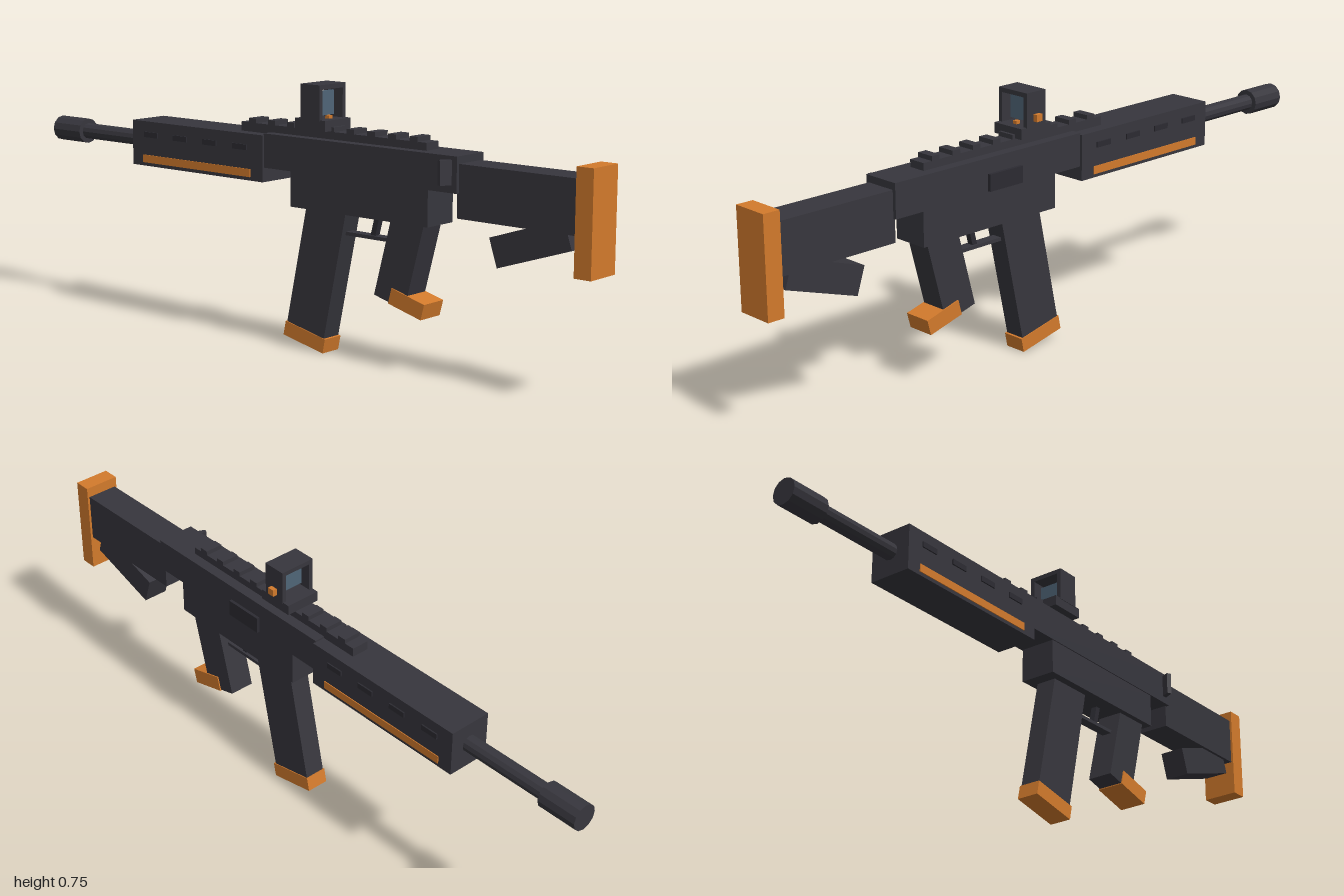
import * as THREE from 'three';

export function createModel() {
  const model = new THREE.Group();
  model.name = 'rifle';
  const CX = 0.0075; // centre line of the body

  const mat = (name, color) => {
    const m = new THREE.MeshStandardMaterial({ color });
    m.name = name;
    return m;
  };
  const body = mat('charcoal', 0x37363d);
  const dark = mat('darkCharcoal', 0x2c2b32);
  const orange = mat('orange', 0xd27a2c);
  const glass = mat('glassBlue', 0x4f6577);

  const add = (name, geo, material, x, y, z, rx = 0, ry = 0) => {
    const mesh = new THREE.Mesh(geo, material);
    mesh.name = name;
    mesh.position.set(CX + x, y, z);
    mesh.rotation.set(rx, ry, 0);
    model.add(mesh);
    return mesh;
  };
  // box by size and centre, x measured from the centre line
  const box = (name, m, w, h, d, x, y, z, rx, ry) =>
    add(name, new THREE.BoxGeometry(w, h, d), m, x, y, z, rx, ry);
  // box by its y and z extents
  const block = (name, m, w, y0, y1, z0, z1, x = 0) =>
    box(name, m, w, y1 - y0, z1 - z0, x, (y0 + y1) / 2, (z0 + z1) / 2);
  // faceted cylinder along z
  const rod = (name, m, r, y, z0, z1) => {
    const geo = new THREE.CylinderGeometry(r, r, z1 - z0, 12).toNonIndexed();
    geo.computeVertexNormals();
    geo.rotateX(Math.PI / 2);
    return add(name, geo, m, 0, y, (z0 + z1) / 2);
  };

  // stock
  block('buttPad', orange, 0.108, 0.337, 0.616, 0.95, 1);
  block('stock', body, 0.094, 0.442, 0.585, 0.585, 0.951);
  box('stockBrace', body, 0.076, 0.081, 0.237, 0, 0.402, 0.807, -0.32);

  // receiver
  block('upperReceiver', body, 0.114, 0.508, 0.605, -0.085, 0.59);
  block('lowerReceiver', body, 0.108, 0.408, 0.509, 0.013, 0.495);
  block('ejectionPort', dark, 0.012, 0.513, 0.561, 0.148, 0.268, 0.06);
  box('chargingHandle', body, 0.045, 0.066, 0.014, -0.064, 0.562, 0.563, 0, -0.45);

  // handguard with side strips and vents
  block('handguard', body, 0.128, 0.467, 0.6, -0.61, -0.083);
  for (const s of [-1, 1]) {
    block('handguardStrip', orange, 0.006, 0.477, 0.5, -0.565, -0.13, s * 0.0635);
    for (let i = 0; i < 4; i++) {
      box('handguardVent', dark, 0.007, 0.016, 0.055, s * 0.0645, 0.561, -0.17 - i * 0.12);
    }
  }

  // barrel
  rod('barrel', body, 0.024, 0.537, -0.9, -0.6);
  rod('muzzle', body, 0.038, 0.537, -1, -0.88);

  // top rail
  block('rail', body, 0.052, 0.598, 0.626, -0.2, 0.467);
  for (let i = 0; i < 9; i++) {
    box('railTooth', body, 0.054, 0.014, 0.027, 0, 0.632, 0.425 - i * 0.0725);
  }

  // sight: base, hollow frame, lens and adjusters
  block('sightBase', body, 0.106, 0.628, 0.658, 0.03, 0.14);
  const frame = new THREE.Shape();
  frame.moveTo(-0.0545, 0.655).lineTo(0.0545, 0.655).lineTo(0.0545, 0.754).lineTo(-0.0545, 0.754);
  const opening = new THREE.Path();
  opening.moveTo(-0.042, 0.658).lineTo(-0.042, 0.741).lineTo(0.042, 0.741).lineTo(0.042, 0.658);
  frame.holes.push(opening);
  add('sightFrame', new THREE.ExtrudeGeometry(frame, { depth: 0.07, bevelEnabled: false }), body, 0, 0, 0.051);
  block('sightLens', glass, 0.084, 0.665, 0.733, 0.083, 0.089);
  block('sightEmitter', orange, 0.014, 0.656, 0.667, 0.1, 0.114);
  block('sightKnob', orange, 0.014, 0.672, 0.692, 0.075, 0.096, 0.0605);

  // pistol grip and trigger
  box('grip', body, 0.076, 0.27, 0.108, 0, 0.315, 0.39, 0.257);
  box('gripHeel', orange, 0.083, 0.045, 0.115, 0, 0.189, 0.416, 0.257);
  block('triggerGuard', body, 0.03, 0.343, 0.353, 0.18, 0.36);
  box('trigger', dark, 0.018, 0.075, 0.016, 0, 0.387, 0.283, 0.25);

  // magazine
  box('magazine', body, 0.062, 0.4, 0.14, 0, 0.25, 0.09, 0.21);
  box('magazineBase', orange, 0.067, 0.042, 0.15, 0, 0.037, 0.046, 0.21);

  return model;
}
